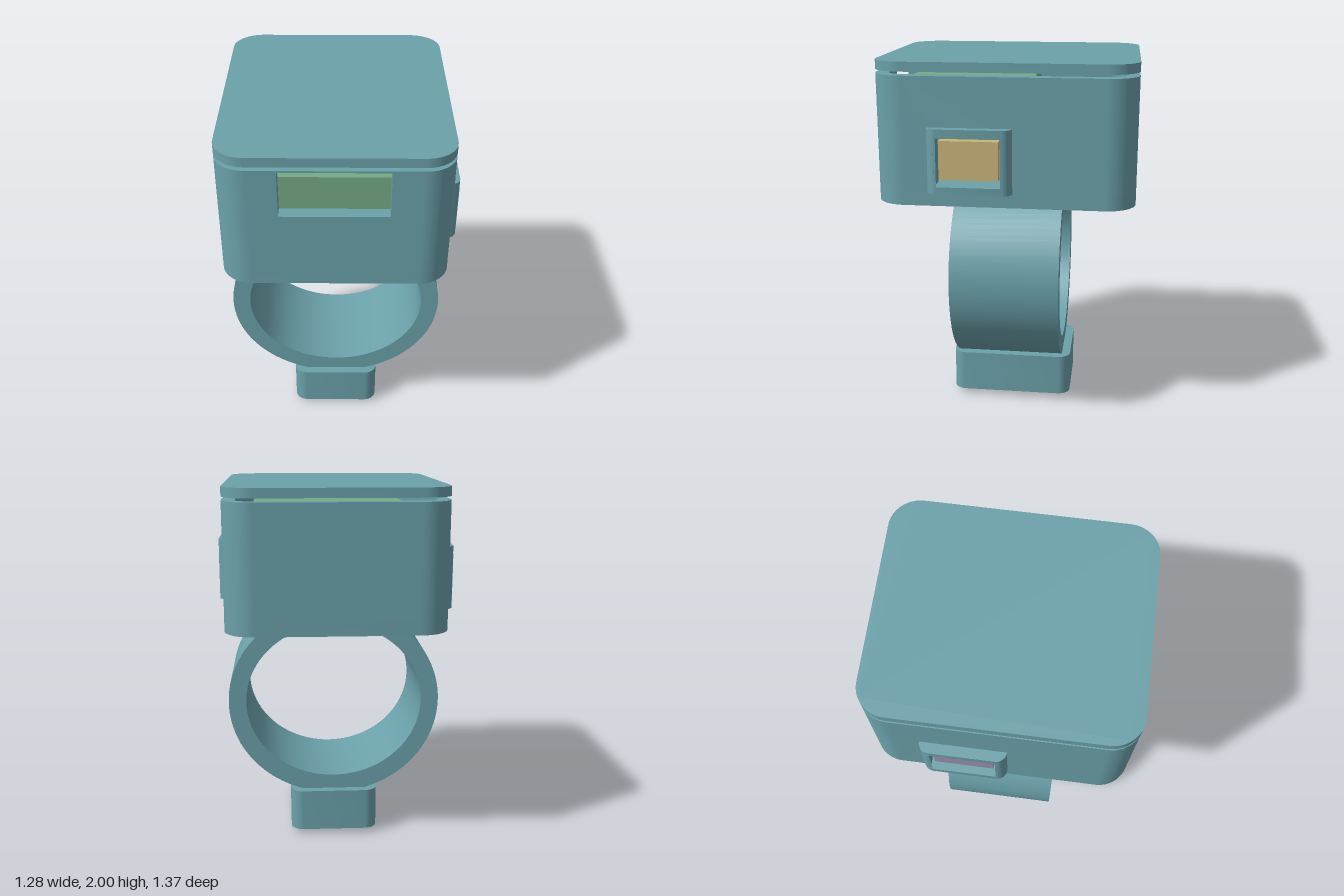
import * as THREE from 'three';
import { toCreasedNormals } from 'three/addons/utils/BufferGeometryUtils.js';

const material = (name, color) => {
  const m = new THREE.MeshStandardMaterial({ color });
  m.name = name;
  return m;
};

export function createModel() {
  const teal = material('teal', 0x6ba1aa);
  const green = material('green', 0x76ab86);
  const tan = material('tan', 0xcab57b);
  const purple = material('purple', 0xa08fb4);
  const model = new THREE.Group();
  model.name = 'ringDevice';

  const add = (parent, name, geometry, mat = teal) => {
    const mesh = new THREE.Mesh(geometry, mat);
    mesh.name = name;
    parent.add(mesh);
    return mesh;
  };
  const extrude = (shape, depth, curveSegments = 14) =>
    new THREE.ExtrudeGeometry(shape, { depth, bevelEnabled: false, curveSegments });
  const smooth = (g) => toCreasedNormals(g, 0.5);
  // Plan shape (x, -z) raised from y0 to y1
  const raise = (shape, y0, y1) =>
    smooth(extrude(shape, y1 - y0).rotateX(-Math.PI / 2).translate(0, y0, 0));
  const box = (x0, x1, y0, y1, z0, z1) =>
    new THREE.BoxGeometry(x1 - x0, y1 - y0, z1 - z0)
      .translate((x0 + x1) / 2, (y0 + y1) / 2, (z0 + z1) / 2);
  const roundedRect = (w, h, r) => {
    const s = new THREE.Shape();
    s.absarc(w - r, h - r, r, 0, Math.PI / 2);
    s.absarc(r - w, h - r, r, Math.PI / 2, Math.PI);
    s.absarc(r - w, r - h, r, Math.PI, Math.PI * 1.5);
    s.absarc(w - r, r - h, r, Math.PI * 1.5, Math.PI * 2);
    s.closePath();
    return s;
  };
  const rect = (x0, x1, y0, y1, Type = THREE.Shape) => {
    const s = new Type();
    s.moveTo(x0, y0);
    s.lineTo(x1, y0);
    s.lineTo(x1, y1);
    s.lineTo(x0, y1);
    s.closePath();
    return s;
  };

  // Hollow housing: floor, four walls and four rounded corners
  const W = 0.585, D = 0.685, R = 0.16, T = 0.07;
  const bottom = 1.255, floorTop = 1.325, top = 1.93;
  const housing = new THREE.Group();
  housing.name = 'housing';
  model.add(housing);
  add(housing, 'floor', raise(roundedRect(W, D, R), bottom, floorTop));

  const wall = (half, hole) => {
    const s = rect(-half, half, floorTop, top);
    if (hole) s.holes.push(rect(...hole, THREE.Path));
    return extrude(s, T);
  };
  add(housing, 'frontWall', wall(W - R, [-0.275, 0.27, 1.67, 1.92]).translate(0, 0, D - T));
  add(housing, 'backWall', wall(W - R).translate(0, 0, -D));
  for (const sx of [1, -1]) {
    const side = add(housing, sx > 0 ? 'leftWall' : 'rightWall',
      wall(D - R, [-0.35, 0, 1.37, 1.625]).translate(0, 0, W - T));
    side.rotation.y = sx * Math.PI / 2;
    for (const sz of [1, -1]) {
      const start = Math.atan2(sz, sx) - Math.PI / 4;
      const s = new THREE.Shape();
      const cx = sx * (W - R), cy = sz * (D - R);
      s.absarc(cx, cy, R, start, start + Math.PI / 2, false);
      s.absarc(cx, cy, R - T, start + Math.PI / 2, start, true);
      s.closePath();
      add(housing, 'corner', raise(s, floorTop, top));
    }
  }

  // Floating lid and the display block behind the front window
  add(model, 'lid', raise(roundedRect(W, D, R), 1.95, 2));
  add(model, 'display', box(-0.45, 0.45, 1.57, 1.85, -0.1, D - T - 0.003), green);

  // Side bezels, the second turned half round about the vertical axis
  const X = 0.64, r = 0.055;
  const plan = (z0, z1, round0, round1) => {
    const s = new THREE.Shape();
    s.moveTo(W, -z1);
    if (round1) s.absarc(X - r, -z1 + r, r, -Math.PI / 2, 0);
    else s.lineTo(X, -z1);
    if (round0) s.absarc(X - r, -z0 - r, r, 0, Math.PI / 2);
    else s.lineTo(X, -z0);
    s.lineTo(W, -z0);
    s.closePath();
    return s;
  };
  for (const [name, mat, turn] of [['left', tan, 0], ['right', purple, Math.PI]]) {
    const port = new THREE.Group();
    port.name = name + 'Port';
    port.rotation.y = turn;
    add(port, 'bezelBottom', raise(plan(-0.05, 0.393, true, true), 1.33, 1.37));
    add(port, 'bezelTop', raise(plan(-0.05, 0.393, true, true), 1.625, 1.67));
    add(port, 'bezelBackPost', raise(plan(-0.05, 0, true, false), 1.37, 1.625));
    add(port, 'bezelFrontPost', raise(plan(0.35, 0.393, false, true), 1.37, 1.625));
    add(port, 'sensor', box(0.55, 0.605, 1.4, 1.605, 0.02, 0.33), mat);
    model.add(port);
  }

  // Oval finger band
  const oval = new THREE.Shape();
  oval.absellipse(0, 0.79, 0.59, 0.55, 0, Math.PI * 2);
  const opening = new THREE.Path();
  opening.absellipse(0, 0.79, 0.492, 0.445, 0, Math.PI * 2);
  oval.holes.push(opening);
  add(model, 'band', smooth(extrude(oval, 0.59, 48).translate(0, 0, -0.295)));

  // Foot block with a small pad underneath
  add(model, 'foot', raise(roundedRect(0.245, 0.342, 0.07), 0.03, 0.265));
  add(model, 'footPad', box(-0.14, 0.14, 0, 0.04, -0.207, 0.207));
  return model;
}
